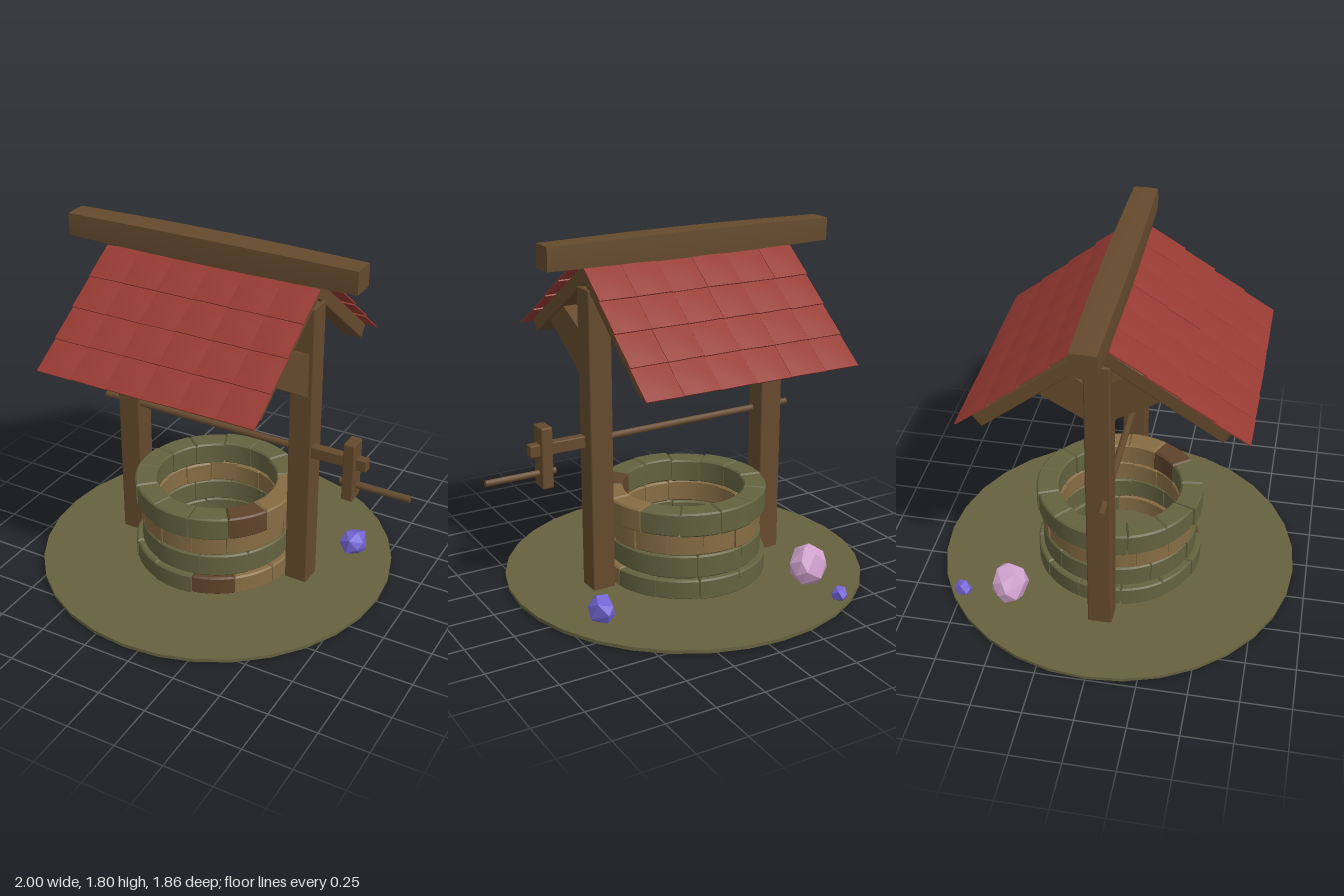
import * as THREE from 'three';
import { toCreasedNormals } from 'three/addons/utils/BufferGeometryUtils.js';
import { RoundedBoxGeometry } from 'three/addons/geometries/RoundedBoxGeometry.js';
import { ConvexGeometry } from 'three/addons/geometries/ConvexGeometry.js';

const material = (name, color) => {
  const m = new THREE.MeshStandardMaterial({ color });
  m.name = name;
  return m;
};

function seeded(seed) {
  let s = seed;
  return () => (s = (s * 16807) % 2147483647) / 2147483647;
}

// Moves every vertex of a geometry by a rule
function reshape(geo, rule) {
  const p = geo.attributes.position, v = new THREE.Vector3();
  for (let i = 0; i < p.count; i++) {
    rule(v.fromBufferAttribute(p, i));
    p.setXYZ(i, v.x, v.y, v.z);
  }
  geo.computeVertexNormals();
  return geo;
}

export function createModel() {
  const model = new THREE.Group();
  model.name = 'well';
  const mat = {
    ground: material('mossy ground', 0x66623f),
    stone: material('green stone', 0x63623f),
    tan: material('tan stone', 0x866c43),
    brown: material('brown stone', 0x5f432a),
    wood: material('wood', 0x654a2d),
    roof: material('red tile', 0x963a32),
    violet: material('violet crystal', 0x7464d4),
    pink: material('pink crystal', 0xd2a3cf),
  };
  const add = (name, geo, m, x = 0, y = 0, z = 0, parent = model) => {
    const mesh = new THREE.Mesh(geo, m);
    mesh.name = name;
    mesh.position.set(x, y, z);
    parent.add(mesh);
    return mesh;
  };
  const cx = -0.07;

  // Ground disc
  add('ground', new THREE.CylinderGeometry(0.93, 0.93, 0.018, 32), mat.ground, cx, 0.019, 0);

  // Stone ring: rows of curved blocks, angles run from +z towards +x
  const wall = new THREE.Group();
  wall.name = 'stoneRing';
  wall.position.x = cx;
  model.add(wall);
  const rnd = seeded(77);
  const rad = THREE.MathUtils.degToRad;
  const block = (a0, a1, r0, r1, h) => {
    const b = 0.008, s = new THREE.Shape();
    s.absarc(0, 0, r1, rad(a0 - 90), rad(a1 - 90), false);
    s.absarc(0, 0, r0, rad(a1 - 90), rad(a0 - 90), true);
    s.closePath();
    const geo = new THREE.ExtrudeGeometry(s, {
      depth: h - 2 * b, curveSegments: 5, bevelEnabled: true,
      bevelThickness: b, bevelSize: b, bevelOffset: -b, bevelSegments: 1,
    });
    return toCreasedNormals(geo.rotateX(-Math.PI / 2).translate(0, b, 0), 0.5);
  };
  const rows = [
    { y: 0.025, h: 0.105, r: 0.428, n: 12, start: 11, special: { 0: mat.brown, 1: mat.tan, 2: mat.tan } },
    { y: 0.13, h: 0.12, r: 0.402, n: 10, start: 16, special: {} },
    { y: 0.25, h: 0.115, r: 0.4, n: 14, start: 10, base: mat.tan, special: {} },
    { y: 0.365, h: 0.122, r: 0.43, n: 13, start: 9, special: { 1: mat.brown, 2: mat.tan, 3: mat.tan } },
  ];
  for (const { y, h, r, n, start, base = mat.stone, special } of rows) {
    const step = 360 / n;
    for (let i = 0; i < n; i++) {
      const a = start + i * step, wobble = (rnd() - 0.5) * 0.01;
      const geo = block(a + 0.2, a + step - 0.2, 0.315 + wobble, r + wobble, h + wobble * 0.6);
      add('stoneBlock', geo, special[i] || base, 0, y, 0, wall);
    }
  }

  // Posts
  const postX = { left: 0.423, right: -0.567 };
  for (const x of Object.values(postX)) {
    add('post', new RoundedBoxGeometry(0.122, 1.55, 0.122, 1, 0.008), mat.wood, x, 0.797, 0);
  }

  // Ridge beam, swelling towards the middle
  const ridge = reshape(new THREE.BoxGeometry(1.565, 0.12, 0.128, 12, 2, 2), (v) => {
    const t = Math.cos(v.x * 2);
    v.y += 0.008 * t * Math.sign(v.y);
    v.z += 0.008 * t * Math.sign(v.z);
    if (Math.abs(v.y) > 0.05 && Math.abs(v.z) > 0.05) {
      v.y *= 0.95;
      v.z *= 0.95;
    }
  });
  add('ridgeBeam', toCreasedNormals(ridge, 0.6), mat.wood, -0.095, 1.739, -0.004);

  // Rafters
  const beam = (name, x, from, to, w, h) => {
    const d = new THREE.Vector2(to[0] - from[0], to[1] - from[1]);
    const geo = new RoundedBoxGeometry(w, h, d.length(), 1, 0.008);
    const mesh = add(name, geo, mat.wood, x, (from[1] + to[1]) / 2, (from[0] + to[0]) / 2);
    mesh.rotation.x = Math.atan2(-d.y, d.x);
  };
  for (const x of Object.values(postX)) {
    beam('frontRafter', x, [-0.02, 1.655], [0.59, 1.258], 0.1, 0.075);
    beam('backRafter', x, [0.02, 1.66], [-0.565, 1.2], 0.1, 0.075);
  }

  // Diagonal braces, outlined in (z, y)
  const brace = (name, x, pts) => {
    const s = new THREE.Shape(pts.map(([z, y]) => new THREE.Vector2(z, y)));
    const geo = new THREE.ExtrudeGeometry(s, { depth: 0.076, bevelEnabled: false });
    add(name, geo.rotateY(-Math.PI / 2), mat.wood, x + 0.038, 0, 0);
  };
  brace('frontBrace', postX.left, [[0.27, 1.433], [0, 1.31], [0, 1.07], [0.43, 1.333]]);
  brace('frontBrace', postX.right, [[0.14, 1.53], [0, 1.45], [0, 1.24], [0.3, 1.42]]);
  brace('backBrace', postX.right, [[-0.12, 1.5], [0, 1.43], [0, 1.235], [-0.275, 1.388]]);

  // Roof: two slopes of thin puffed tiles
  const slope = (name, side, top, bottom, columns = 6, count = 4) => {
    const group = new THREE.Group();
    group.name = name;
    group.position.set(-0.0725, top[1], side * top[0]);
    group.rotation.order = 'YXZ';
    group.rotation.y = side > 0 ? 0 : Math.PI;
    group.rotation.x = Math.atan2(top[1] - bottom[1], bottom[0] - top[0]);
    model.add(group);
    const w = 1.155 / columns;
    const l = Math.hypot(bottom[0] - top[0], bottom[1] - top[1]) / count;
    for (let r = 0; r < count; r++) {
      for (let c = 0; c < columns; c++) {
        const lift = (rnd() - 0.5) * 0.003, skew = (rnd() - 0.5) * 0.04;
        const geo = reshape(new THREE.BoxGeometry(w - 0.001, 0.007, l + 0.012, 5, 1, 5), (v) => {
          const u = v.x / w, t = v.z / l;
          v.y += 0.008 * t + 0.006 * Math.cos(Math.PI * u) * Math.cos(Math.PI * t * 0.85) + lift;
          v.z += skew * v.x;
        });
        add('roofTile', geo, mat.roof, (c + 0.5) * w - 0.5775, 0, (r + 0.5) * l, group);
      }
    }
  };
  slope('frontRoof', 1, [0.065, 1.672], [0.685, 1.258]);
  slope('backRoof', -1, [0.07, 1.678], [0.65, 1.197]);

  // Winding axle and crank
  const rod = (name, x0, x1, y0, y1, r, sides) => {
    const geo = new THREE.CylinderGeometry(r, r, Math.hypot(x1 - x0, y1 - y0), sides);
    const mesh = add(name, geo, mat.wood, (x0 + x1) / 2, (y0 + y1) / 2, 0.03);
    mesh.rotation.z = Math.atan2(y1 - y0, x1 - x0) - Math.PI / 2;
  };
  rod('axle', -0.72, 0.42, 0.812, 0.802, 0.018, 8);
  add('axleEnd', new RoundedBoxGeometry(0.36, 0.062, 0.05, 1, 0.006), mat.wood, 0.595, 0.803, 0.027);
  add('crankArm', new RoundedBoxGeometry(0.06, 0.312, 0.098, 1, 0.008), mat.wood, 0.693, 0.763, 0.032);
  rod('crankHandle', 0.635, 1, 0.68, 0.68, 0.017, 8);

  // Faceted crystals on the ground
  const crystal = (name, m, seed, count, x, y, z, sx, sy, sz, turn) => {
    const random = seeded(seed), pts = [];
    for (let i = 0; i < count; i++) {
      const h = 1 - (2 * (i + 0.5)) / count, a = i * 2.4 + random() * 0.7, q = Math.sqrt(1 - h * h);
      pts.push(new THREE.Vector3(q * Math.cos(a) * sx, h * sy, q * Math.sin(a) * sz));
    }
    add(name, new ConvexGeometry(pts), m, x, y, z).rotation.y = turn;
  };
  crystal('violetCrystal', mat.violet, 31, 15, 0.58, 0.075, -0.335, 0.068, 0.078, 0.088, -0.4);
  crystal('smallVioletCrystal', mat.violet, 52, 13, -0.54, 0.05, -0.735, 0.044, 0.044, 0.054, -0.5);
  crystal('pinkCrystal', mat.pink, 93, 22, -0.52, 0.11, -0.49, 0.105, 0.112, 0.1, 0.3);

  return model;
}
